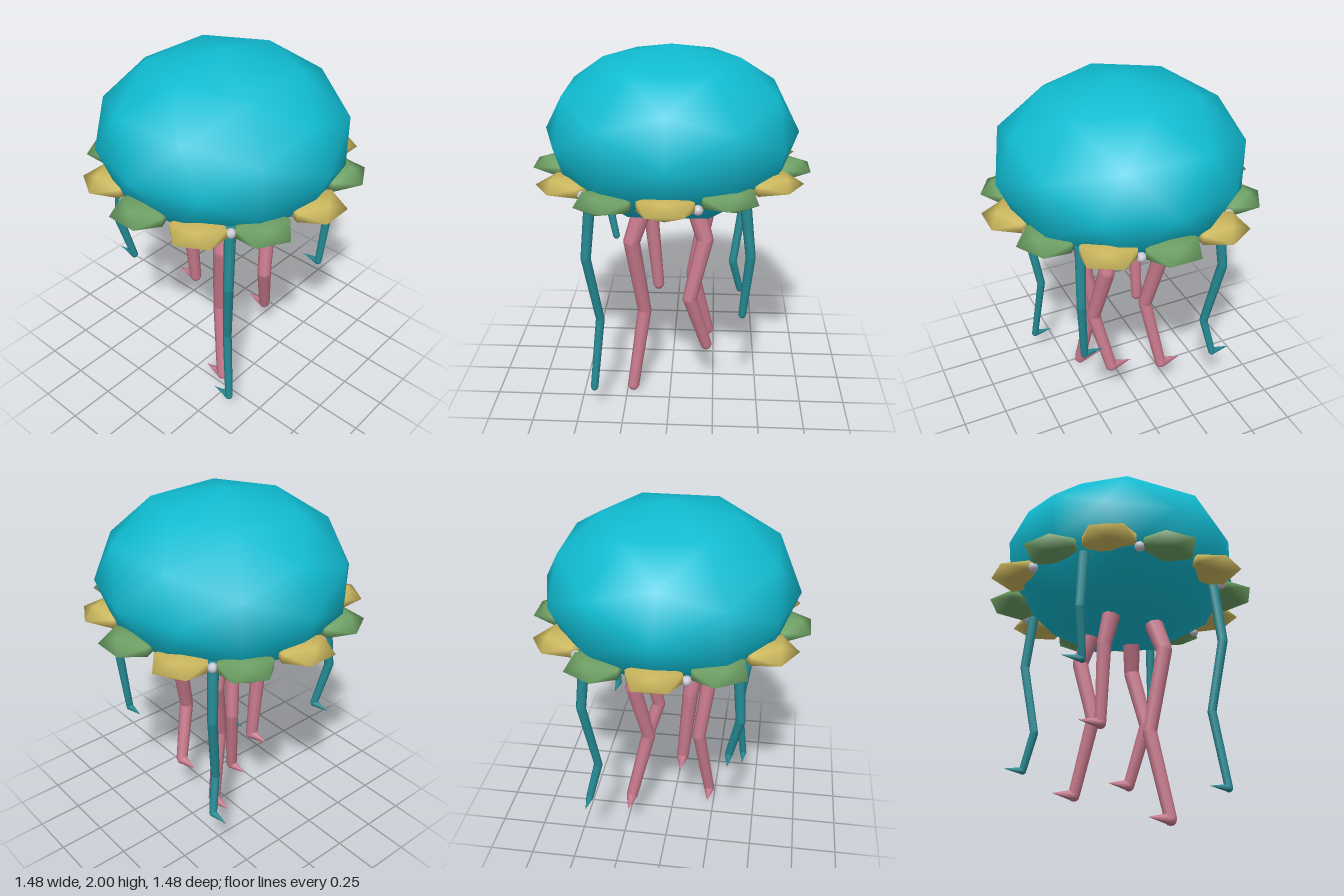
import * as THREE from 'three';
import { mergeVertices } from 'three/addons/utils/BufferGeometryUtils.js';

const mat = (name, color) => {
  const m = new THREE.MeshStandardMaterial({ color });
  m.name = name;
  return m;
};

// Icosahedron with shared vertices, so that its shading is smooth
function smoothIco(detail, sx, sy, sz) {
  let g = new THREE.IcosahedronGeometry(1, detail);
  g.deleteAttribute('normal');
  g.deleteAttribute('uv');
  g = mergeVertices(g, 1e-4);
  g.scale(sx, sy, sz);
  g.computeVertexNormals();
  return g;
}

function addMesh(parent, name, geometry, material, position) {
  const m = new THREE.Mesh(geometry, material);
  m.name = name;
  if (position) m.position.copy(position);
  parent.add(m);
  return m;
}

// Jointed limb: tapered segments, a ball at each joint, a backward-pointing claw
function makeLimb(name, points, r0, r1, clawLength, material) {
  const limb = new THREE.Group();
  limb.name = name;
  const pts = points.map((p) => new THREE.Vector3(...p));
  const n = pts.length - 1;
  const radius = (i) => THREE.MathUtils.lerp(r0, r1, i / n);
  const up = new THREE.Vector3(0, 1, 0);
  for (let i = 0; i < n; i++) {
    const dir = pts[i].clone().sub(pts[i + 1]);
    const seg = addMesh(limb, 'segment',
      new THREE.CylinderGeometry(radius(i), radius(i + 1), dir.length(), 8), material,
      pts[i].clone().add(pts[i + 1]).multiplyScalar(0.5));
    seg.quaternion.setFromUnitVectors(up, dir.normalize());
    addMesh(limb, 'joint', new THREE.SphereGeometry(radius(i + 1), 8, 6), material, pts[i + 1]);
  }
  const claw = addMesh(limb, 'claw', new THREE.ConeGeometry(r1, clawLength, 8), material, pts[n]);
  claw.rotation.x = -Math.PI / 2;
  claw.position.z -= clawLength / 2;
  return limb;
}

export function createModel() {
  const model = new THREE.Group();
  model.name = 'jellyfish';
  const bellBlue = mat('bellBlue', 0x10bcd2);
  const tentacleTeal = mat('tentacleTeal', 0x258a94);
  const armPink = mat('armPink', 0xc87a8d);
  const lobeYellow = mat('lobeYellow', 0xcdb95f);
  const lobeGreen = mat('lobeGreen', 0x6fa266);
  const beadGrey = mat('beadGrey', 0xc8c6d2);

  // Bell
  addMesh(model, 'bell', smoothIco(1, 0.675, 0.455, 0.675), bellBlue, new THREE.Vector3(0, 1.545, 0));

  // Ring of twelve lobes in a gentle wave
  const lobeGeo = smoothIco(0, 0.165, 0.048, 0.165);
  for (let i = 0; i < 12; i++) {
    const a = (i * Math.PI) / 6;
    const lobe = addMesh(model, 'rimLobe', lobeGeo, i % 2 ? lobeYellow : lobeGreen,
      new THREE.Vector3(0.6 * Math.cos(a), 1.347 + 0.017 * Math.sin(2 * a), 0.6 * Math.sin(a)));
    lobe.rotation.y = -a;
  }

  // Six sense beads between the lobes
  const beadGeo = smoothIco(1, 0.027, 0.027, 0.027);
  for (let i = 0; i < 6; i++) {
    const a = Math.PI / 12 + (i * Math.PI) / 3;
    addMesh(model, 'senseBead', beadGeo, beadGrey,
      new THREE.Vector3(0.6 * Math.cos(a), 1.325, 0.6 * Math.sin(a)));
  }

  // Thin outer tentacles, each of its own length
  [
    [[-0.39, 1.33, 0.39], [-0.425, 0.97, 0.41], [-0.37, 0.58, 0.355], [-0.41, 0.17, 0.405]],
    [[0.385, 1.33, 0.39], [0.425, 1.0, 0.41], [0.395, 0.65, 0.39]],
    [[0.39, 1.33, -0.385], [0.42, 1.0, -0.415], [0.36, 0.59, -0.36], [0.41, 0.38, -0.4]],
    [[-0.39, 1.33, -0.385], [-0.415, 1.0, -0.41], [-0.36, 0.745, -0.37]],
  ].forEach((p) => model.add(makeLimb('tentacle', p, 0.03, 0.021, 0.11, tentacleTeal)));

  // Thick inner arms
  [
    [[-0.15, 1.14, 0.14], [-0.21, 0.96, 0.17], [-0.15, 0.5, 0.105], [-0.215, 0.035, 0.18]],
    [[0.14, 1.14, 0.14], [0.19, 0.98, 0.165], [0.11, 0.64, 0.215], [0.205, 0.31, 0.15]],
    [[0.14, 1.14, -0.12], [0.19, 0.98, -0.16], [0.12, 0.63, -0.105], [0.215, 0.22, -0.17]],
    [[-0.15, 1.14, -0.12], [-0.125, 0.97, -0.15], [-0.085, 0.535, -0.15]],
  ].forEach((p) => model.add(makeLimb('oralArm', p, 0.052, 0.033, 0.125, armPink)));

  return model;
}
